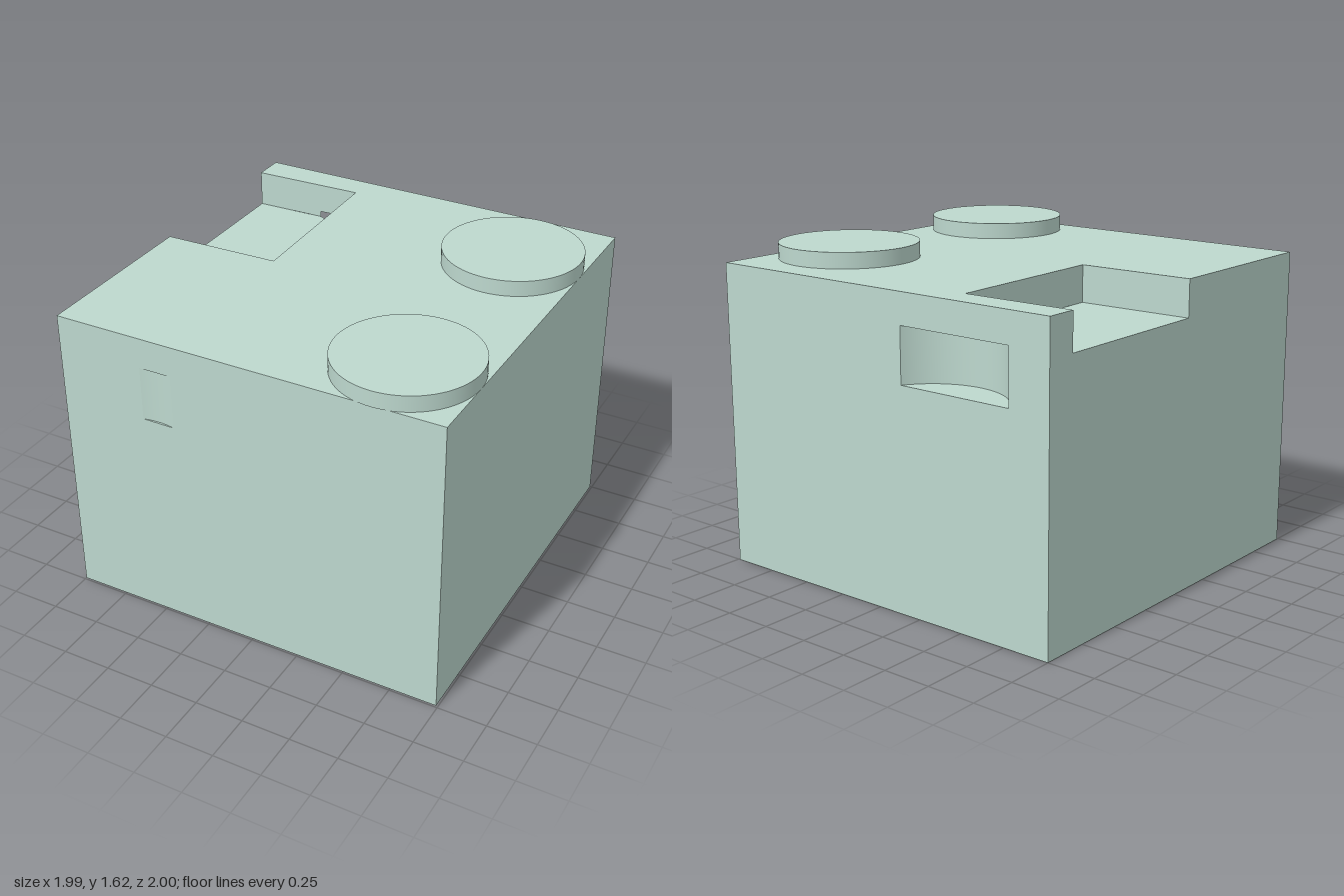
import * as THREE from 'three';
import { mergeGeometries } from 'three/addons/utils/BufferGeometryUtils.js';

const LO = -1, HI = 0.99, TOP = 1.54;           // block limits
const FLOOR = 1.355;                            // pocket floor height
const S0 = 1.11, S1 = 1.385, R = 0.35, CX = -0.47; // socket heights, radius, centre x
const BACK_Z = -1.16, FRONT_Z = 1.33;           // socket centres
const IN = { bx: -0.42, bz: -0.855, fx: -0.4, fz: 0.04 }; // inner pocket corners

const backWallZ = x => -0.84 - (x + 1) * 0.015 / 0.58;
const innerWallX = z => IN.bx + (z - IN.bz) * 0.02 / 0.895;
const frontWallZ = x => 0.055 - (x + 1) * 0.015 / 0.6;

// Move every vertex by a rule, optionally turning the faces round
function remap(geo, map, flip) {
  const p = geo.attributes.position;
  for (let i = 0; i < p.count; i++) p.setXYZ(i, ...map(p.getX(i), p.getY(i)));
  if (flip) {
    const a = geo.index.array;
    for (let i = 0; i < a.length; i += 3) [a[i], a[i + 1]] = [a[i + 1], a[i]];
  }
  geo.computeVertexNormals();
  return geo;
}

const vecs = pts => pts.map(([x, y]) => new THREE.Vector2(x, y));

// Flat panel from an outline, with an optional hole
function panel(pts, map, flip = false, hole = null) {
  const shape = new THREE.Shape(vecs(pts));
  if (hole) shape.holes.push(new THREE.Path(vecs(hole)));
  return remap(new THREE.ShapeGeometry(shape), map, flip);
}

const rect = (a, b, c, d) => [[a, c], [b, c], [b, d], [a, d]];
const level = y => (x, z) => [x, y, z];
const facing = z => (x, y) => [x, y, z];

// Points on a socket's round wall between two angles; s is the inward z direction
function arc(cz, s, a0, a1, n = 24) {
  return Array.from({ length: n + 1 }, (_, i) => {
    const a = a0 + (a1 - a0) * i / n;
    return [CX + R * Math.sin(a), cz + s * R * Math.cos(a)];
  });
}

function arcWall(cz, s, a0, a1, top) {
  const geo = new THREE.PlaneGeometry(1, 1, 24, 1);
  return remap(geo, (u, v) => {
    const a = a0 + (a1 - a0) * (u + 0.5);
    return [CX + R * Math.sin(a), S0 + (top - S0) * (v + 0.5), cz + s * R * Math.cos(a)];
  }, s > 0);
}

export function createModel() {
  const model = new THREE.Group();
  const material = new THREE.MeshStandardMaterial({ color: 0xbdd8ce });
  const add = (name, geo) => {
    const mesh = new THREE.Mesh(Array.isArray(geo) ? mergeGeometries(geo) : geo, material);
    mesh.name = name;
    model.add(mesh);
    return mesh;
  };

  // Half-angles at which the sockets leave the block
  const backA = Math.acos((LO - BACK_Z) / R);
  const frontA = Math.acos((FRONT_Z - HI) / R);
  const backW = R * Math.sin(backA), frontW = R * Math.sin(frontA);

  // Angles between which the back socket breaks into the pocket
  let a0 = -backA;
  while (BACK_Z + R * Math.cos(a0) < backWallZ(CX + R * Math.sin(a0))) a0 += 0.002;
  const a1 = Math.asin((IN.bx - CX) / R);
  const breakX = CX + R * Math.sin(a0);
  const breakZ = BACK_Z + R * Math.cos(a1);
  const breakArc = arc(BACK_Z, 1, a0, a1);

  // Block outside
  add('blockShell', [
    panel(rect(LO, HI, LO, HI), level(0)),
    panel([[LO, LO], [HI, LO], [HI, HI], [LO, HI], [LO, frontWallZ(LO)], [IN.fx, IN.fz],
      [IN.bx, IN.bz], [LO, backWallZ(LO)]], level(TOP), true),
    panel(rect(LO, HI, 0, TOP), facing(HI), false, rect(CX - frontW, CX + frontW, S0, S1)),
    panel(rect(LO, HI, 0, TOP), facing(LO), true, rect(CX - backW, CX + backW, S0, S1)),
    panel(rect(LO, HI, 0, TOP), (z, y) => [HI, y, z], true),
    panel([[LO, 0], [HI, 0], [HI, TOP], [frontWallZ(LO), TOP], [frontWallZ(LO), FLOOR],
      [backWallZ(LO), FLOOR], [backWallZ(LO), TOP], [LO, TOP]], (z, y) => [LO, y, z]),
  ]);

  // Pocket in the top, open at the side and into the back socket
  add('pocket', [
    panel([[LO, backWallZ(LO)], ...breakArc, [IN.fx, IN.fz], [LO, frontWallZ(LO)]], level(FLOOR), true),
    panel([[LO, FLOOR], [breakX, FLOOR], [breakX, S1], [IN.bx, S1], [IN.bx, TOP], [LO, TOP]],
      (x, y) => [x, y, backWallZ(x)]),
    panel([[breakZ, FLOOR], [IN.fz, FLOOR], [IN.fz, TOP], [IN.bz, TOP], [IN.bz, S1], [breakZ, S1]],
      (z, y) => [innerWallX(z), y, z]),
    panel(rect(LO, IN.fx, FLOOR, TOP), (x, y) => [x, y, frontWallZ(x)], true),
  ]);

  // Round socket in the back
  add('backSocket', [
    arcWall(BACK_Z, 1, -backA, a0, S1),
    arcWall(BACK_Z, 1, a0, a1, FLOOR),
    arcWall(BACK_Z, 1, a1, backA, S1),
    panel(arc(BACK_Z, 1, -backA, backA, 72), level(S0), true),
    panel([...arc(BACK_Z, 1, -backA, a0), [IN.bx, IN.bz], ...arc(BACK_Z, 1, a1, backA)], level(S1)),
  ]);

  // Shallow socket in the front
  add('frontSocket', [
    arcWall(FRONT_Z, -1, -frontA, frontA, S1),
    panel(arc(FRONT_Z, -1, -frontA, frontA), level(S0), true),
    panel(arc(FRONT_Z, -1, -frontA, frontA), level(S1)),
  ]);

  // Round studs on top
  for (const [name, z] of [['backStud', -0.5], ['frontStud', 0.65]]) {
    add(name, new THREE.CylinderGeometry(R, R, 0.08, 72)).position.set(0.64, TOP + 0.04, z);
  }
  return model;
}
